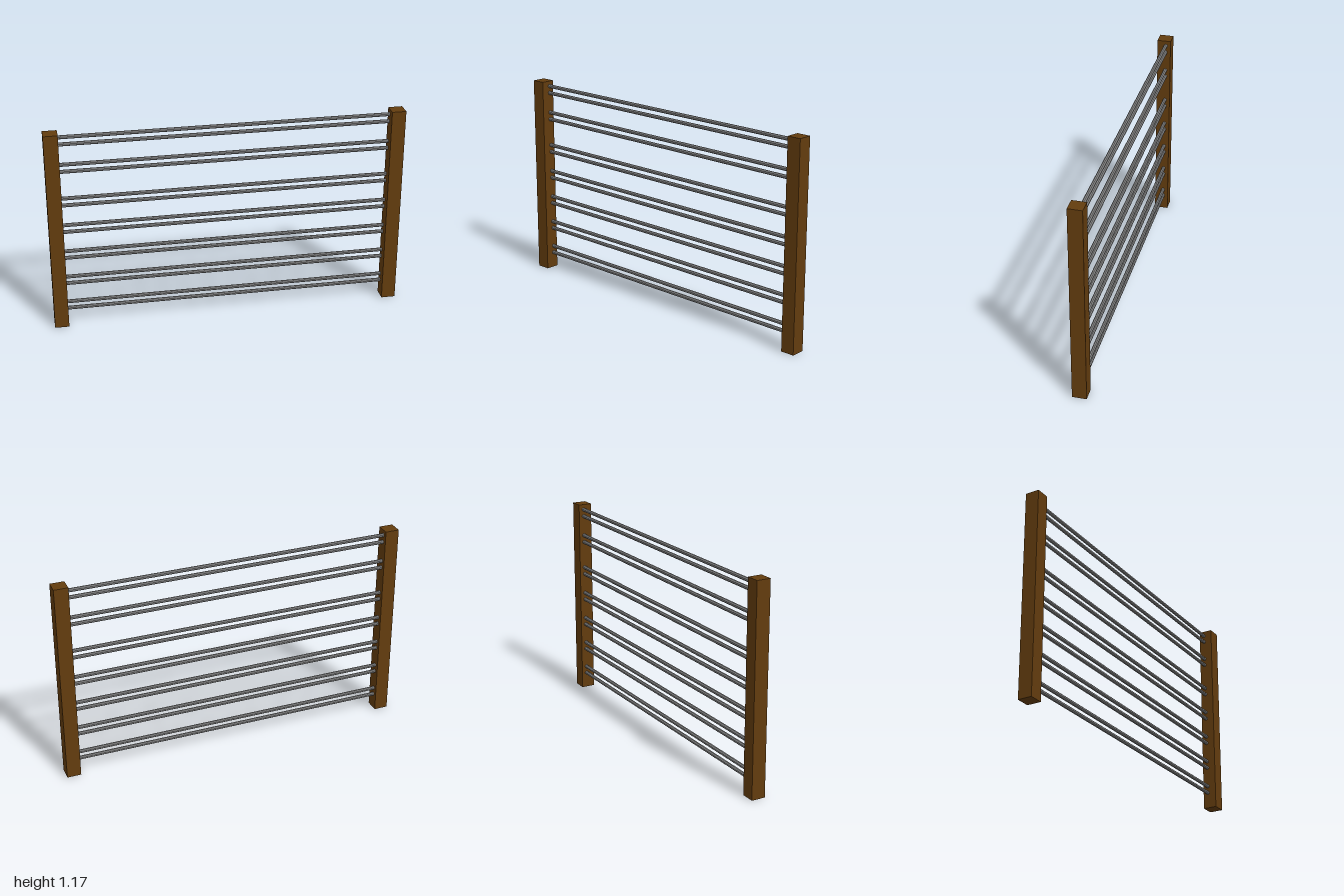
import * as THREE from 'three';

export function createModel() {
  const model = new THREE.Group();
  model.name = 'railFence';

  const wood = new THREE.MeshStandardMaterial({ color: 0x633c0e });
  wood.name = 'brown wood';
  const metal = new THREE.MeshStandardMaterial({ color: 0x888888 });
  metal.name = 'grey metal';

  // Two square posts
  const height = 1.175, width = 0.08;
  const postGeometry = new THREE.BoxGeometry(width, height, width);
  for (const [name, side] of [['leftPost', 1], ['rightPost', -1]]) {
    const post = new THREE.Mesh(postGeometry, wood);
    post.name = name;
    post.position.set(side * (1 - width / 2), height / 2, 0);
    model.add(post);
  }

  // Seven pairs of thin rods between the posts, set slightly to the back
  const rodGeometry = new THREE.CylinderGeometry(0.0108, 0.0108, 1.85, 8);
  rodGeometry.rotateY(Math.PI / 8);
  rodGeometry.rotateZ(Math.PI / 2);
  metal.flatShading = true;
  const pairHeights = [0.115, 0.275, 0.436, 0.598, 0.761, 0.963, 1.124];
  pairHeights.forEach((y, i) => {
    const pair = new THREE.Group();
    pair.name = `rodPair${i + 1}`;
    pair.position.set(0, y, -0.011);
    for (const [name, offset] of [['upperRod', 0.0208], ['lowerRod', -0.0208]]) {
      const rod = new THREE.Mesh(rodGeometry, metal);
      rod.name = name;
      rod.position.y = offset;
      pair.add(rod);
    }
    model.add(pair);
  });

  return model;
}
